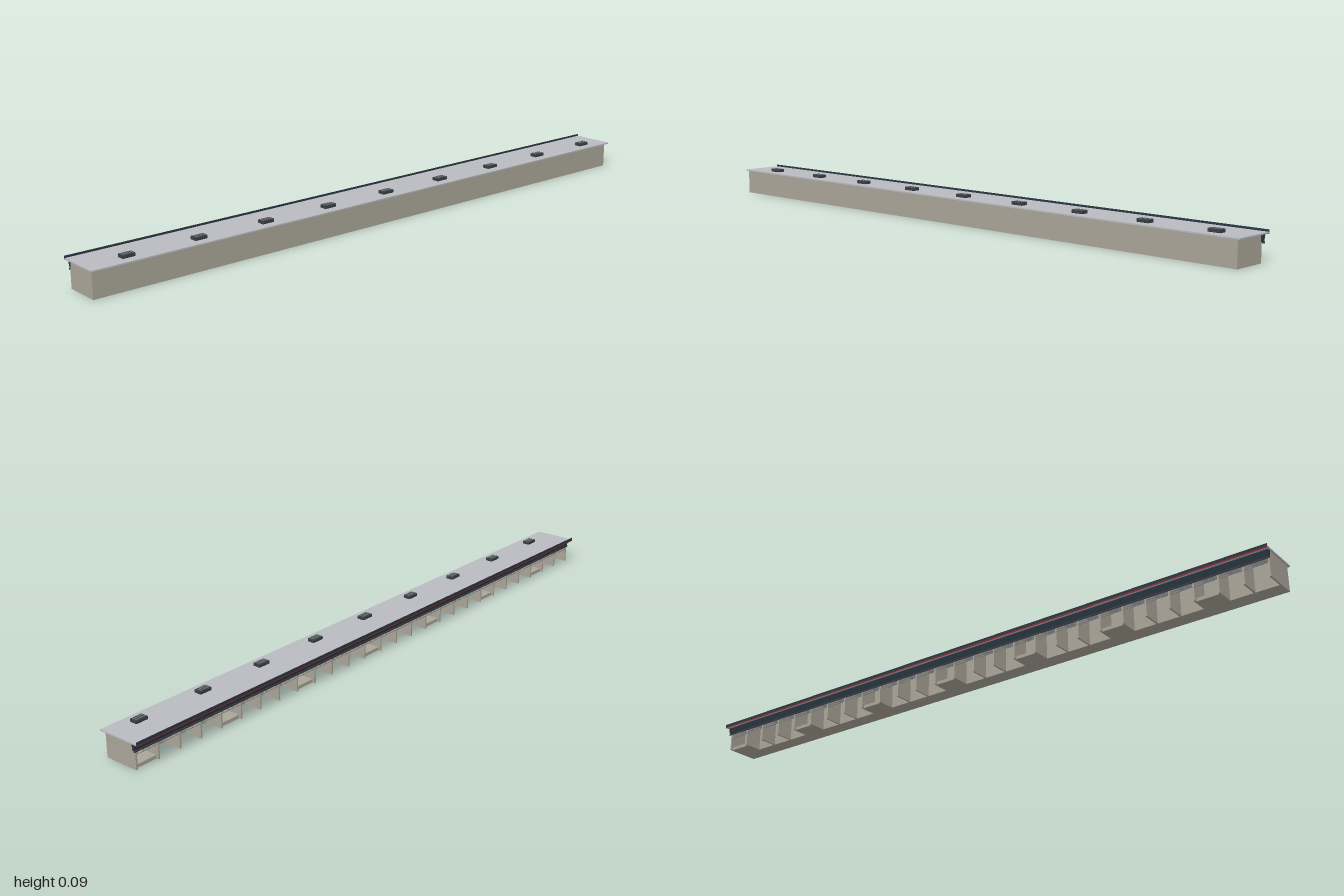
import * as THREE from 'three';
import { RoundedBoxGeometry } from 'three/addons/geometries/RoundedBoxGeometry.js';

const mat = (color) => new THREE.MeshStandardMaterial({ color });
const WALL = mat(0xaaa598), ROOF = mat(0xb9bbc1), NAVY = mat(0x2b3844),
  DARK = mat(0x3a3f44), RED = mat(0xa02a2a), STEEL = mat(0x85888c);

// Box given by its limits on each axis
function block(parent, name, material, [x0, x1], [y0, y1], [z0, z1]) {
  const mesh = new THREE.Mesh(new THREE.BoxGeometry(x1 - x0, y1 - y0, z1 - z0), material);
  mesh.position.set((x0 + x1) / 2, (y0 + y1) / 2, (z0 + z1) / 2);
  mesh.name = name;
  parent.add(mesh);
  return mesh;
}

function subgroup(parent, name) {
  const g = new THREE.Group();
  g.name = name;
  parent.add(g);
  return g;
}

export function createModel() {
  const model = new THREE.Group();
  model.name = 'longBayBuilding';
  const X0 = -0.995, X1 = 0.99, BAYS = 27, step = (X1 - X0) / BAYS;
  const BACK = -0.048, INNER = 0.01, TOP = 0.076;

  // Closed long volume, with open bays along the back
  block(model, 'mainVolume', WALL, [X0, X1], [0, TOP], [INNER, 0.06]);
  const dividers = subgroup(model, 'bayDividers');
  for (let i = 0; i <= BAYS; i++) {
    const t = 0.005;
    const x = X0 + (X1 - X0 - t) * i / BAYS;
    block(dividers, 'divider', WALL, [x, x + t], [0, TOP], [BACK, INNER]);
  }

  // Low entrance platform in every fourth bay
  const platforms = subgroup(model, 'entrancePlatforms');
  for (let i = 0; i < BAYS; i += 4) {
    const x = X1 - (i + 1) * step;
    block(platforms, 'platform', WALL, [x, x + step], [0, 0.01], [-0.04, INNER]);
  }

  // Roof slab and the upright trim along its back edge
  block(model, 'roof', ROOF, [-1, 1], [TOP, 0.08], [-0.066, 0.068]);
  block(model, 'edgeTrim', NAVY, [-1, 1], [0.0775, 0.086], [-0.067, -0.0655]);
  block(model, 'trimStripe', RED, [-1, 1], [0.0745, 0.0775], [-0.067, -0.0655]);

  // Fascia tapering downward under the roof
  const section = new THREE.Shape([[0.043, 0.076], [0.0545, 0.076], [0.05, 0.056], [0.0455, 0.056]]
    .map(([x, y]) => new THREE.Vector2(x, y)));
  const fascia = new THREE.Mesh(
    new THREE.ExtrudeGeometry(section, { depth: 1.992, bevelEnabled: false }), NAVY);
  fascia.rotation.y = Math.PI / 2;
  fascia.position.x = -0.996;
  fascia.scale.x = 1;
  fascia.name = 'fascia';
  model.add(fascia);
  block(model, 'fasciaRail', DARK, [-0.996, 0.996], [0.0515, 0.056], [-0.0525, -0.05]);

  // Grille over the bay openings
  const grille = subgroup(model, 'grille');
  for (const y of [0.041, 0.048])
    block(grille, 'grilleRail', STEEL, [X0, X1], [y, y + 0.0015], [-0.047, -0.0455]);
  for (let i = 0; i < BAYS * 4; i++) {
    const x = X0 + (i + 0.5) * step / 4;
    block(grille, 'grilleBar', STEEL, [x, x + 0.0015], [0.041, 0.057], [-0.047, -0.0455]);
  }

  // Roof units over every third bay
  const unitBody = new RoundedBoxGeometry(0.04, 0.01, 0.024, 2, 0.002);
  for (let i = 0; i < 9; i++) {
    const unit = subgroup(model, 'roofUnit');
    unit.position.set(-0.874 + i * 0.2225, 0.08, 0.029);
    const body = new THREE.Mesh(unitBody, DARK);
    body.position.y = 0.005;
    body.name = 'unitBody';
    unit.add(body);
    for (let k = -2; k <= 2; k++)
      block(unit, 'unitSlat', STEEL, [k * 0.007 - 0.001, k * 0.007 + 0.001], [0.009, 0.0105], [-0.009, 0.009]);
  }
  return model;
}
